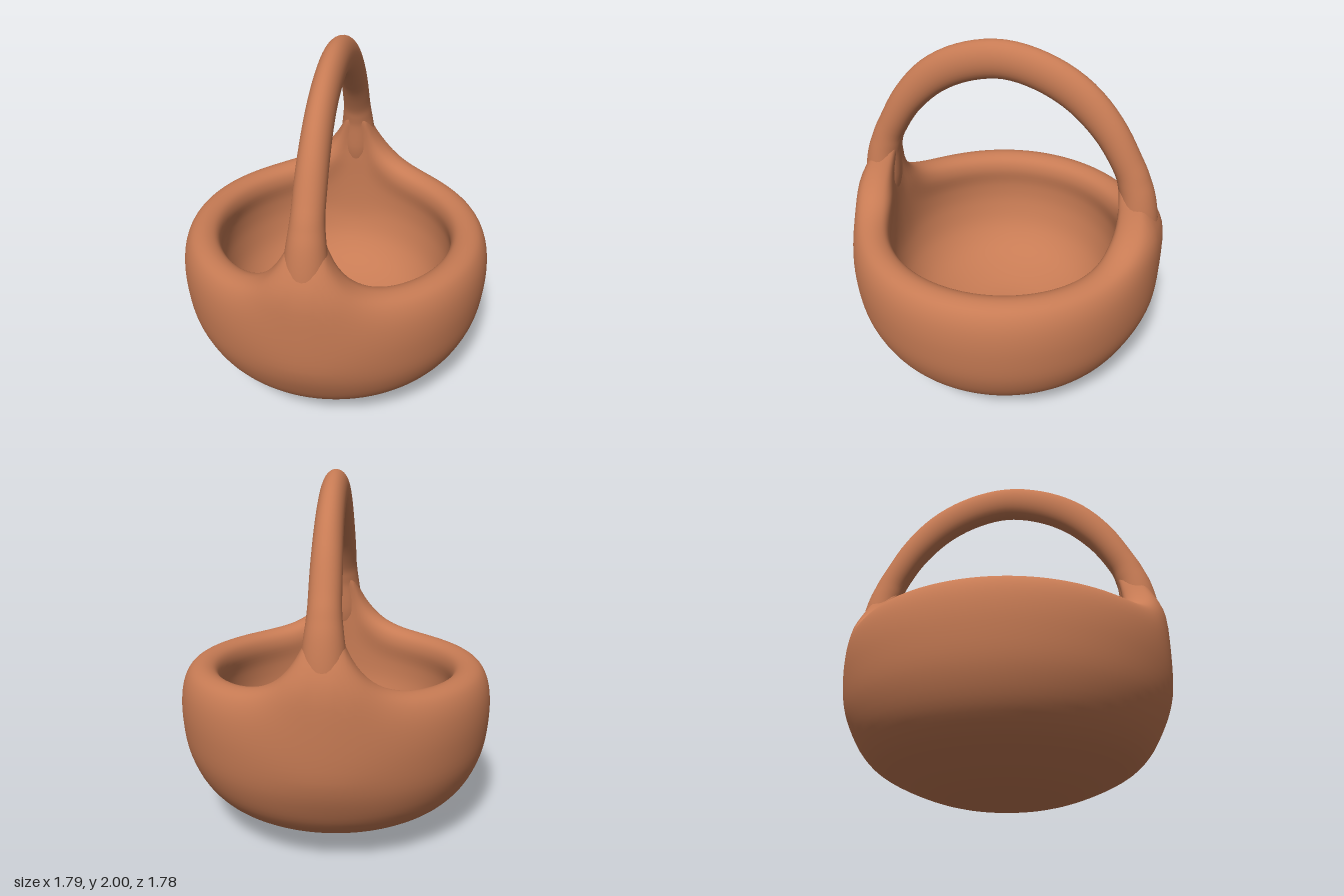
import * as THREE from 'three';
import { mergeVertices } from 'three/addons/utils/BufferGeometryUtils.js';
import { ParametricGeometry } from 'three/addons/geometries/ParametricGeometry.js';

const { smoothstep, radToDeg, degToRad } = THREE.MathUtils;
const clay = new THREE.MeshStandardMaterial({ color: 0xc77b54 });
const vec2 = ([x, y]) => new THREE.Vector2(x, y);

// Round thick-walled bowl whose rim swells upward where the handle grows out (local +x and -x)
function makeBowl() {
  const profile = new THREE.SplineCurve([
    [0, 0], [0.33, 0.03], [0.62, 0.14], [0.77, 0.26], [0.86, 0.44], [0.89, 0.64],
    [0.882, 0.8], [0.84, 0.9], [0.77, 0.933], [0.7, 0.91], [0.672, 0.84],
    [0.684, 0.72], [0.67, 0.58], [0.61, 0.42], [0.48, 0.29], [0.25, 0.2], [0, 0.18],
  ].map(vec2));
  const points = profile.getPoints(80);
  points[0].x = points[80].x = 0;
  const lathe = new THREE.LatheGeometry(points, 180);
  lathe.deleteAttribute('uv');
  lathe.deleteAttribute('normal');
  const geometry = mergeVertices(lathe, 1e-4);
  const pos = geometry.attributes.position;
  for (let i = 0; i < pos.count; i++) {
    const x = pos.getX(i), y = pos.getY(i), z = pos.getZ(i);
    const r = Math.hypot(x, z);
    if (y < 0.3 || r < 0.3) continue;
    const degrees = radToDeg(Math.atan2(Math.abs(z), Math.abs(x)));
    const rise = Math.min(0.38, 0.64 * Math.exp(-degrees / 9)) * smoothstep(y, 0.55, 0.93);
    // The outside bulges a little below the handle
    const bulge = 0.025 * Math.exp(-((degrees / 20) ** 2)) * smoothstep(y, 0.3, 0.65) * smoothstep(r, 0.76, 0.86);
    // The raised wall thins and leans inward to follow the handle
    const newY = y + rise;
    const thin = 1 - 0.3 * smoothstep(newY, 0.95, 1.25);
    const lean = 0.075 * smoothstep(newY, 1.02, 1.4);
    const newR = 0.78 - lean + (r + bulge - 0.78) * thin;
    pos.setXYZ(i, x * newR / r, newY, z * newR / r);
  }
  geometry.computeVertexNormals();
  return geometry;
}

// Arched handle with an oval section that thickens towards its feet, which end inside the wall
function makeHandle() {
  const half = [[0.795, 0.7], [0.788, 0.85], [0.78, 1.0], [0.758, 1.2], [0.733, 1.3], [0.692, 1.4], [0.575, 1.59], [0.415, 1.75], [0.22, 1.853]];
  const arch = new THREE.SplineCurve([
    ...half.map(([x, y]) => [-x, y]), [0, 1.895], ...half.slice().reverse(),
  ].map(vec2));
  const surface = (u, v, target) => {
    const c = arch.getPoint(u), t = arch.getTangent(u), angle = v * Math.PI * 2;
    const foot = smoothstep(1.42 - c.y, 0, 0.35);
    const top = smoothstep(c.y, 1.4, 1.88);
    const end = 0.4 + 0.6 * smoothstep(c.y, 0.68, 1.08);
    const depth = (0.084 + 0.021 * top + 0.022 * foot) * end;
    const width = (0.082 - 0.01 * top + 0.032 * foot) * end;
    const n = depth * Math.cos(angle);
    target.set(c.x - t.y * n, c.y + t.x * n, -width * Math.sin(angle));
  };
  return new ParametricGeometry(surface, 80, 32);
}

export function createModel() {
  const basket = new THREE.Group();
  basket.name = 'basket';
  for (const [name, geometry] of [['bowl', makeBowl()], ['handle', makeHandle()]]) {
    const mesh = new THREE.Mesh(geometry, clay);
    mesh.name = name;
    basket.add(mesh);
  }
  // The handle crosses the bowl diagonally
  basket.rotation.y = degToRad(33);
  const model = new THREE.Group();
  model.add(basket);
  return model;
}
